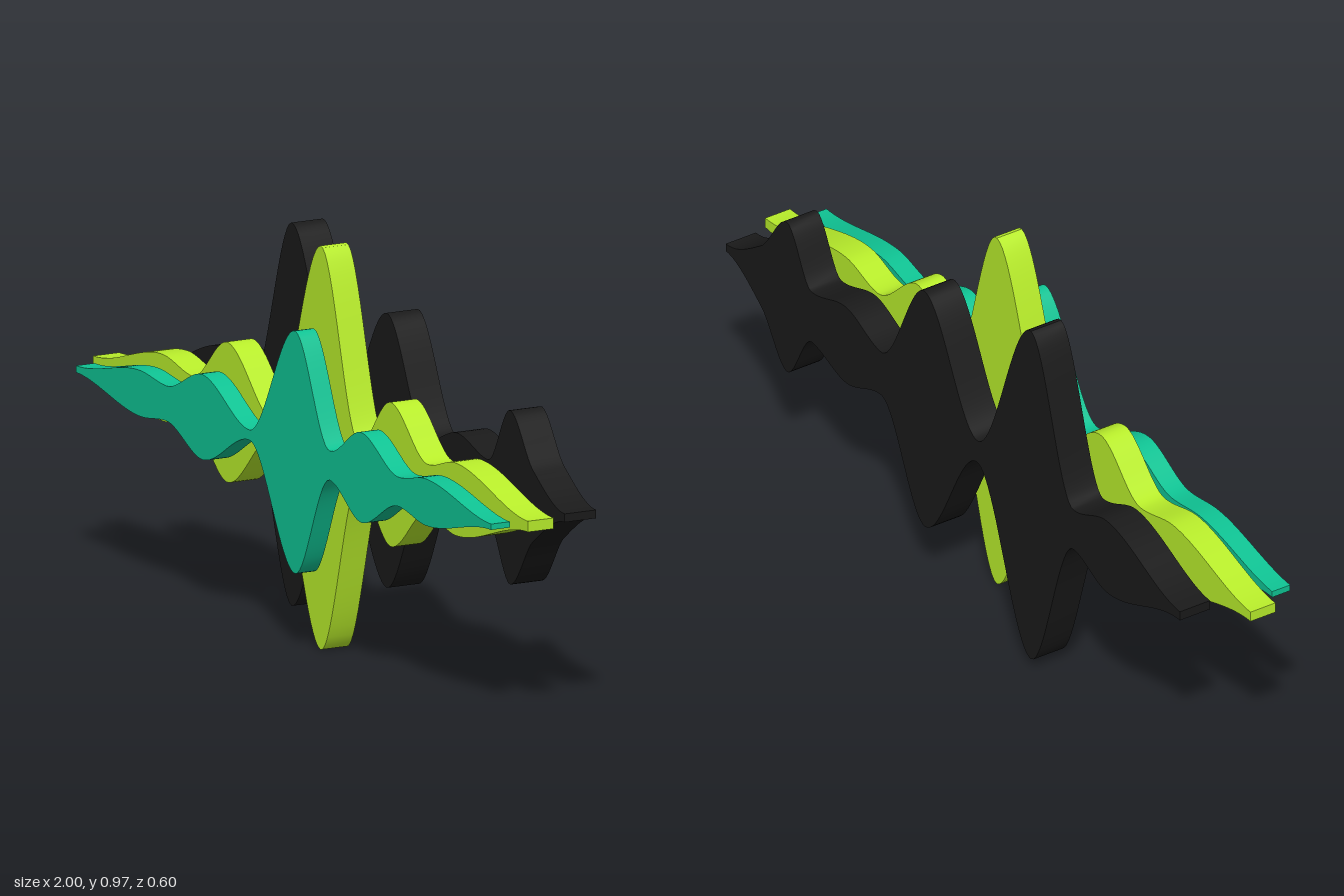
import * as THREE from 'three';
import { toCreasedNormals } from 'three/addons/utils/BufferGeometryUtils.js';

const MID = 0.487; // height of the shared centre line

// Smooth height curve that stays level at each crest and trough
function waveHeight(points, x) {
  const n = points.length;
  const slope = (i) => (points[i + 1][1] - points[i][1]) / (points[i + 1][0] - points[i][0]);
  const tangent = (i) => {
    if (i === 0 || i === n - 1) return 0;
    const a = slope(i - 1), b = slope(i);
    return a * b <= 0 ? 0 : (2 * a * b) / (a + b);
  };
  let i = 0;
  while (i < n - 2 && x > points[i + 1][0]) i++;
  const h = points[i + 1][0] - points[i][0];
  const t = (x - points[i][0]) / h, t2 = t * t, t3 = t2 * t;
  return (2 * t3 - 3 * t2 + 1) * points[i][1] + (t3 - 2 * t2 + t) * h * tangent(i)
    + (3 * t2 - 2 * t3) * points[i + 1][1] + (t3 - t2) * h * tangent(i + 1);
}

// Plate with a wave outline mirrored about its centre line
function wavePlate(name, color, back, depth, points) {
  const steps = 180, start = points[0][0], end = points[points.length - 1][0];
  const upper = [], lower = [];
  for (let i = 0; i <= steps; i++) {
    const x = start + ((end - start) * i) / steps;
    const y = waveHeight(points, x);
    upper.unshift(new THREE.Vector2(x, y));
    lower.push(new THREE.Vector2(x, -y));
  }
  const shape = new THREE.Shape([...lower, ...upper]);
  const solid = new THREE.ExtrudeGeometry(shape, { depth, bevelEnabled: false });
  const mesh = new THREE.Mesh(toCreasedNormals(solid, 0.6), new THREE.MeshStandardMaterial({ color }));
  mesh.name = name;
  mesh.position.set(0, MID, back);
  return mesh;
}

export function createModel() {
  const group = new THREE.Group();
  group.name = 'layeredWaves';

  // Each point is [position along the plate, half height]
  group.add(wavePlate('frontWave', 0x0fc494, 0.08, 0.051, [
    [-0.96, 0.008], [-0.66, 0.055], [-0.54, 0.042], [-0.373, 0.102], [-0.154, 0.012], [0.059, 0.291],
    [0.22, 0.035], [0.367, 0.108], [0.54, 0.035], [0.668, 0.056], [0.972, 0.007]]));
  group.add(wavePlate('middleWave', 0xb9ee2b, -0.015, 0.07, [
    [-1.01, 0.013], [-0.687, 0.08], [-0.55, 0.055], [-0.387, 0.168], [-0.17, 0.016], [0.049, 0.484],
    [0.225, 0.045], [0.374, 0.173], [0.545, 0.058], [0.675, 0.087], [1.012, 0.013]]));
  group.add(wavePlate('backWave', 0x1a1a1a, -0.15, 0.085, [
    [-0.915, 0.012], [-0.61, 0.1], [-0.47, 0.055], [-0.293, 0.459], [-0.07, 0.03], [0.149, 0.329],
    [0.33, 0.06], [0.478, 0.106], [0.62, 0.07], [0.722, 0.209], [0.83, 0.085], [0.977, 0.01]]));

  // The whole stack is turned slightly
  group.rotation.y = THREE.MathUtils.degToRad(-10);
  return group;
}
